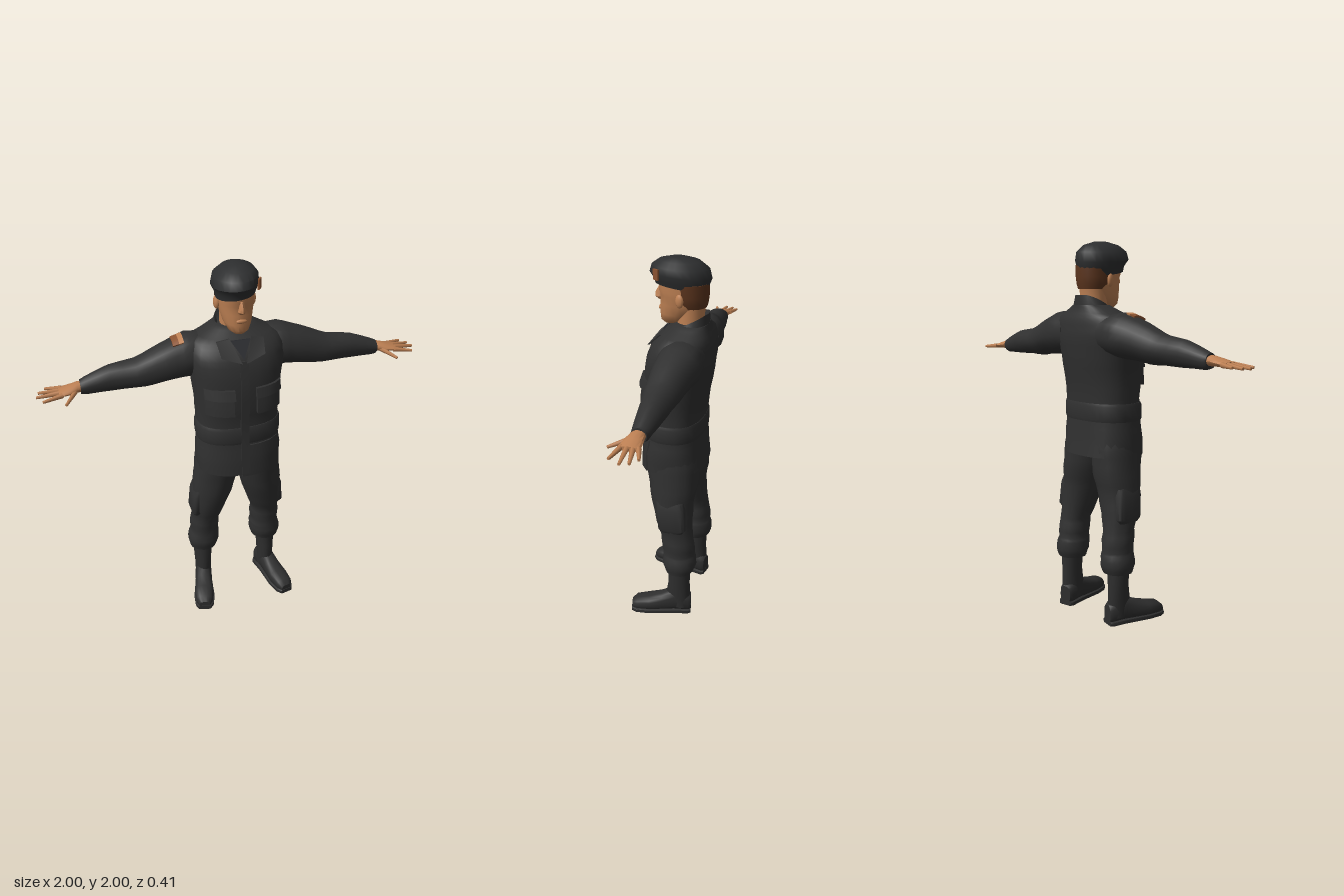
import * as THREE from 'three';
import { toCreasedNormals } from 'three/addons/utils/BufferGeometryUtils.js';

const paint = (name, color) => {
  const m = new THREE.MeshStandardMaterial({ color });
  m.name = name;
  return m;
};

// Closed skin over oval rings [t, u, v, ru, rv], t ascending along the axis.
// power squares the ovals off, fold adds cloth wrinkles.
function loft(axis, rings, { sides = 18, power = 2, fold = 0, split = 1 } = {}) {
  const rows = [];
  rings.forEach((r, i) => {
    if (i === rings.length - 1) return rows.push(r);
    for (let k = 0; k < split; k++) rows.push(r.map((a, j) => a + (rings[i + 1][j] - a) * k / split));
  });
  const place = { x: (t, u, v) => [t, u, v], y: (t, u, v) => [u, t, v], z: (t, u, v) => [u, v, t] }[axis];
  const pos = [], idx = [];
  const tri = (a, b, c) => (axis === 'y' ? idx.push(a, c, b) : idx.push(a, b, c));
  const pow = (c) => Math.sign(c) * Math.abs(c) ** (2 / power);
  rows.forEach(([t, u, v, ru, rv], i) => {
    for (let j = 0; j < sides; j++) {
      const a = j / sides * Math.PI * 2;
      const s = 1 + fold * Math.sin(2 * a + i * 1.9) * Math.cos(3 * a - i * 2.3);
      pos.push(...place(t, u + ru * s * pow(Math.cos(a)), v + rv * s * pow(Math.sin(a))));
    }
  });
  for (let i = 0; i < rows.length - 1; i++) for (let j = 0; j < sides; j++) {
    const a = i * sides + j, b = i * sides + (j + 1) % sides;
    tri(a, b, b + sides);
    tri(a, b + sides, a + sides);
  }
  const n = rows.length * sides, last = rows[rows.length - 1];
  pos.push(...place(...rows[0].slice(0, 3)), ...place(...last.slice(0, 3)));
  for (let j = 0; j < sides; j++) {
    const k = (j + 1) % sides;
    tri(n, k, j);
    tri(n + 1, n - sides + j, n - sides + k);
  }
  const g = new THREE.BufferGeometry();
  g.setAttribute('position', new THREE.Float32BufferAttribute(pos, 3));
  g.setIndex(idx);
  return toCreasedNormals(g, 0.75);
}

// Moves every vertex by a rule
function bend(geo, rule) {
  const p = geo.attributes.position, v = new THREE.Vector3();
  for (let i = 0; i < p.count; i++) {
    rule(v.fromBufferAttribute(p, i));
    p.setXYZ(i, v.x, v.y, v.z);
  }
  return toCreasedNormals(geo, 0.75);
}

// Copy reflected in x, with the corner order put right again
function mirror(geo) {
  const g = (geo.index ? geo.toNonIndexed() : geo.clone()).applyMatrix4(new THREE.Matrix4().makeScale(-1, 1, 1));
  for (const a of Object.values(g.attributes)) {
    for (let i = 0; i < a.count; i += 3) for (let k = 0; k < a.itemSize; k++) {
      const p = (i + 1) * a.itemSize + k, q = (i + 2) * a.itemSize + k;
      [a.array[p], a.array[q]] = [a.array[q], a.array[p]];
    }
  }
  return g;
}

// Tapered rod between two points
function rod(a, b, r0, r1) {
  const from = new THREE.Vector3(...a), to = new THREE.Vector3(...b), d = to.clone().sub(from);
  const g = new THREE.CylinderGeometry(r1, r0, d.length(), 6);
  g.applyQuaternion(new THREE.Quaternion().setFromUnitVectors(new THREE.Vector3(0, 1, 0), d.normalize()));
  return g.translate(...from.add(to).multiplyScalar(0.5).toArray());
}

const TORSO = [
  [0.90, 0, 0.002, 0.225, 0.172], [1.0, 0, 0.003, 0.228, 0.163], [1.09, 0, 0, 0.218, 0.153],
  [1.2, 0, -0.004, 0.217, 0.15], [1.3, 0, -0.006, 0.222, 0.16], [1.42, 0, -0.017, 0.234, 0.17],
  [1.52, 0, -0.03, 0.25, 0.168], [1.58, 0, -0.042, 0.245, 0.152], [1.62, 0, -0.055, 0.225, 0.13],
  [1.655, 0, -0.07, 0.15, 0.1], [1.68, 0, -0.085, 0.1, 0.08],
];
const TORSO_POWER = 2.4;

// Depth of the jacket front at a point
function frontZ(x, y) {
  let i = 0;
  while (i < TORSO.length - 2 && TORSO[i + 1][0] < y) i++;
  const k = THREE.MathUtils.clamp((y - TORSO[i][0]) / (TORSO[i + 1][0] - TORSO[i][0]), 0, 1);
  const [, , cz, rx, rz] = TORSO[i].map((a, j) => a + (TORSO[i + 1][j] - a) * k);
  return cz + rz * (1 - Math.min(Math.abs(x) / rx, 0.98) ** TORSO_POWER) ** (1 / TORSO_POWER);
}

// Cloth panel wrapped on the jacket front
function panel(x0, x1, y0, y1, thick, swell = 0) {
  const g = new THREE.BoxGeometry(x1 - x0, y1 - y0, thick, 4, 6, 1).translate((x0 + x1) / 2, (y0 + y1) / 2, 0);
  return bend(g, (v) => { v.z += frontZ(v.x, v.y) + (v.z > 0 ? swell * (y1 - v.y) / (y1 - y0) : 0); });
}

export function createModel() {
  const model = new THREE.Group();
  const cloth = paint('charcoal cloth', 0x303030), felt = paint('beret felt', 0x2d2e2f);
  const leather = paint('boot leather', 0x2e2e2e), shirt = paint('undershirt', 0x26272b);
  const skin = paint('skin', 0xbd8053), hair = paint('brown hair', 0x5c351e), badge = paint('badge brown', 0x8a5230);
  const add = (name, geo, mat) => {
    const m = new THREE.Mesh(geo, mat);
    m.name = name;
    model.add(m);
  };
  const pair = (name, geo, mat) => {
    add('left' + name, geo, mat);
    add('right' + name, mirror(geo), mat);
  };

  // Jacket
  add('jacket', loft('y', TORSO, { sides: 28, power: TORSO_POWER, fold: 0.012, split: 2 }), cloth);
  add('waistband', loft('y', [[1.085, 0, 0, 0.222, 0.156], [1.1, 0, 0, 0.226, 0.16], [1.165, 0, -0.002, 0.226, 0.158],
    [1.18, 0, -0.003, 0.22, 0.153]], { sides: 28, power: TORSO_POWER }), cloth);
  add('placket', panel(-0.022, 0.022, 0.91, 1.55, 0.016), cloth);
  add('frontHem', panel(-0.02, 0.19, 0.895, 1.075, 0.014), cloth);
  pair('ChestPocket', panel(0.06, 0.195, 1.27, 1.4, 0.016, 0.022), cloth);
  pair('PocketFlap', panel(0.055, 0.2, 1.36, 1.41, 0.03, 0.016), cloth);

  // Collar, tipped down toward the throat
  add('collar', bend(loft('y', [[1.63, 0, -0.07, 0.13, 0.095], [1.69, 0, -0.073, 0.11, 0.092], [1.73, 0, -0.075, 0.093, 0.088],
    [1.715, 0, -0.075, 0.08, 0.074]]), (v) => { v.y -= 0.5 * Math.max(0, v.z + 0.15); }), cloth);
  const flat = (pts) => new THREE.ExtrudeGeometry(new THREE.Shape(pts.map((p) => new THREE.Vector2(...p))),
    { depth: 0.009, bevelEnabled: false });
  const lay = (pts, lift) => bend(flat(pts), (v) => { v.z += frontZ(v.x, v.y) + lift; });
  add('undershirt', lay([[0, 1.56], [0.05, 1.635], [-0.05, 1.635]], 0.004), shirt);
  pair('Lapel', lay([[0.012, 1.545], [0.11, 1.575], [0.12, 1.635], [0.055, 1.645]], 0.012), cloth);

  // Sleeves
  pair('Sleeve', loft('x', [
    [0.14, 1.54, -0.08, 0.1, 0.1], [0.24, 1.53, -0.072, 0.115, 0.115], [0.31, 1.52, -0.065, 0.105, 0.105],
    [0.43, 1.488, -0.055, 0.09, 0.088], [0.51, 1.472, -0.053, 0.073, 0.078], [0.64, 1.463, -0.056, 0.066, 0.06],
    [0.76, 1.44, -0.052, 0.045, 0.043], [0.785, 1.438, -0.051, 0.036, 0.037]], { fold: 0.035, split: 2 }), cloth);

  // Hands
  pair('Palm', loft('x', [
    [0.765, 1.44, -0.05, 0.026, 0.032], [0.8, 1.44, -0.048, 0.025, 0.037], [0.84, 1.434, -0.042, 0.02, 0.046],
    [0.89, 1.428, -0.04, 0.012, 0.05]], { sides: 12 }), skin);
  const fingers = [
    ['LittleFinger', [0.875, 1.428, -0.08], [0.955, 1.422, -0.107]], ['RingFinger', [0.875, 1.429, -0.056], [0.988, 1.418, -0.076]],
    ['MiddleFinger', [0.875, 1.429, -0.03], [1.0, 1.417, -0.036]], ['IndexFinger', [0.875, 1.428, -0.004], [0.972, 1.418, 0.02]],
    ['Thumb', [0.81, 1.432, -0.022], [0.867, 1.41, 0.064]]];
  for (const [name, a, b] of fingers) pair(name, rod(a, b, 0.0135, 0.007), skin);

  // Shoulder patch, curved over the right sleeve
  const patch = (x, w, thick) => bend(new THREE.BoxGeometry(w, thick, 0.08, 1, 1, 6).translate(x, 0, 0), (v) => {
    const d = v.x + 0.31, r = 0.11 + 0.143 * d + v.y, a = 0.2 + v.z / 0.11;
    v.set(v.x, 1.52 + 0.143 * d + r * Math.cos(a), -0.065 + r * Math.sin(a));
  });
  add('shoulderPatch', patch(-0.306, 0.03, 0.009), badge);
  add('shoulderPatchEdge', patch(-0.279, 0.024, 0.009), skin);

  // Trousers, bloused over the boots
  pair('TrouserLeg', loft('y', [
    [0.28, 0.187, -0.065, 0.058, 0.062], [0.285, 0.187, -0.065, 0.078, 0.078], [0.33, 0.187, -0.065, 0.09, 0.094],
    [0.375, 0.182, -0.062, 0.086, 0.092], [0.4, 0.18, -0.06, 0.078, 0.088], [0.46, 0.18, -0.056, 0.083, 0.09],
    [0.51, 0.177, -0.048, 0.077, 0.088], [0.6, 0.163, -0.03, 0.097, 0.1], [0.7, 0.143, -0.015, 0.108, 0.114],
    [0.8, 0.125, -0.014, 0.118, 0.132], [0.9, 0.114, -0.008, 0.118, 0.142], [0.98, 0.11, 0, 0.112, 0.145]],
  { fold: 0.03, split: 2 }), cloth);
  pair('CargoPocket', loft('y', [[0.56, 0.225, -0.035, 0.03, 0.06], [0.58, 0.228, -0.035, 0.036, 0.075],
    [0.7, 0.218, -0.025, 0.036, 0.078], [0.74, 0.21, -0.02, 0.03, 0.075]], { power: 4 }), cloth);

  // Boots, toes turned out
  const turn = (g) => g.rotateY(0.22).translate(0.192, 0, -0.065);
  const foot = [
    [-0.066, 0, 0.06, 0.034, 0.05], [-0.05, 0, 0.065, 0.045, 0.058], [0.03, 0, 0.078, 0.044, 0.07], [0.1, 0, 0.06, 0.049, 0.053],
    [0.17, 0, 0.05, 0.055, 0.042], [0.24, 0, 0.044, 0.048, 0.034], [0.268, 0, 0.034, 0.03, 0.02]];
  pair('BootFoot', turn(loft('z', foot, { power: 2.6 })), leather);
  pair('BootSole', turn(loft('z', foot.map(([z, , , rx]) => [z * 1.01, 0, 0.0125, rx + 0.005, 0.0125]), { power: 7 })), leather);
  pair('BootShaft', loft('y', [[0.04, 0.192, -0.07, 0.045, 0.055], [0.12, 0.193, -0.06, 0.045, 0.068],
    [0.2, 0.193, -0.065, 0.05, 0.06], [0.31, 0.19, -0.065, 0.057, 0.062]]), leather);

  // Head and face
  add('neck', loft('y', [[1.58, 0, -0.075, 0.08, 0.07], [1.66, 0, -0.065, 0.07, 0.066], [1.78, 0, -0.07, 0.07, 0.075]]), skin);
  add('head', loft('y', [
    [1.667, 0, 0.035, 0.028, 0.028], [1.685, 0, 0.02, 0.052, 0.062], [1.72, 0, -0.005, 0.07, 0.09], [1.77, 0, -0.03, 0.082, 0.115],
    [1.815, 0, -0.032, 0.089, 0.115], [1.835, 0, -0.03, 0.09, 0.122], [1.9, 0, -0.03, 0.09, 0.12]], { power: 2.2 }), skin);
  add('nose', loft('y', [[1.782, 0, 0.086, 0.014, 0.01], [1.795, 0, 0.09, 0.021, 0.024], [1.81, 0, 0.09, 0.016, 0.024],
    [1.845, 0, 0.084, 0.009, 0.012]], { sides: 8 }), skin);
  add('lips', new THREE.SphereGeometry(1, 12, 8).scale(0.028, 0.011, 0.01).translate(0, 1.742, 0.083), skin);
  pair('Ear', new THREE.SphereGeometry(1, 10, 8).scale(0.013, 0.034, 0.022).rotateY(-0.3).translate(0.094, 1.805, -0.035), skin);
  add('hair', loft('y', [[1.76, 0, -0.075, 0.074, 0.075], [1.785, 0, -0.068, 0.086, 0.088], [1.82, 0, -0.066, 0.093, 0.094],
    [1.88, 0, -0.064, 0.093, 0.096]]), hair);

  // Beret, drooping to the right and back
  add('beret', bend(loft('y', [
    [1.848, -0.004, -0.02, 0.095, 0.13], [1.875, -0.002, -0.02, 0.101, 0.137], [1.908, -0.008, -0.015, 0.114, 0.155],
    [1.95, -0.004, -0.015, 0.108, 0.144], [1.982, 0.004, -0.012, 0.078, 0.103], [2.0, 0.01, -0.01, 0.03, 0.04]], { sides: 24 }),
  (v) => { v.y += (2 - v.y) / 0.15 * (0.15 * v.x + 0.12 * (v.z + 0.02)); }), felt);
  add('beretBadge', new THREE.BoxGeometry(0.034, 0.052, 0.009).rotateY(1.0).translate(0.087, 1.925, 0.083), badge);
  return model;
}
